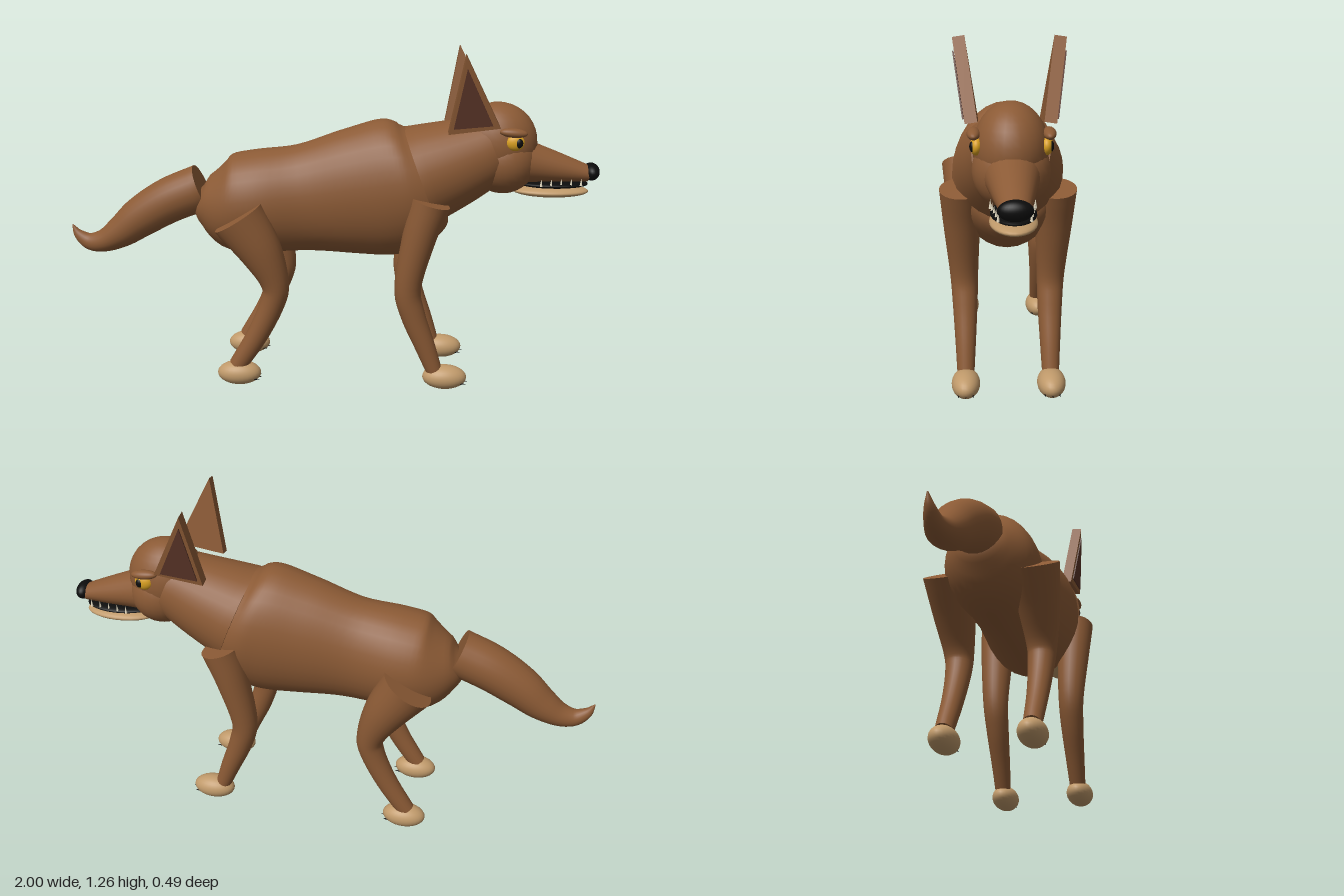
import * as THREE from 'three';

const mat = (name, color) => {
  const m = new THREE.MeshStandardMaterial({ color });
  m.name = name;
  return m;
};

// Smooth capped loft along a path in the xy plane; rows are [x, y, z, radius in xy, radius in z]
function loft(rows, steps = 24, seg = 24) {
  const path = new THREE.CatmullRomCurve3(rows.map(r => new THREE.Vector3(r[0], r[1], r[2])), false, 'catmullrom', 0.5);
  const size = new THREE.CatmullRomCurve3(rows.map(r => new THREE.Vector3(r[3], r[4], 0)), false, 'catmullrom', 0.5);
  const pos = [], idx = [], ends = [];
  for (let i = 0; i <= steps; i++) {
    const p = path.getPoint(i / steps), s = size.getPoint(i / steps), t = path.getTangent(i / steps);
    const len = Math.hypot(t.x, t.y);
    if (i === 0 || i === steps) ends.push(p);
    for (let j = 0; j < seg; j++) {
      const a = j / seg * Math.PI * 2, c = Math.cos(a) * s.x;
      pos.push(p.x - t.y / len * c, p.y + t.x / len * c, p.z + Math.sin(a) * s.y);
    }
  }
  for (let i = 0; i < steps; i++) for (let j = 0; j < seg; j++) {
    const k = (j + 1) % seg, a = i * seg + j, b = i * seg + k;
    idx.push(a, b, a + seg, b, b + seg, a + seg);
  }
  // Flat end caps with their own vertices
  [0, steps].forEach((ring, e) => {
    const base = pos.length / 3;
    for (let j = 0; j < seg; j++) pos.push(...pos.slice((ring * seg + j) * 3, (ring * seg + j) * 3 + 3));
    pos.push(ends[e].x, ends[e].y, ends[e].z);
    for (let j = 0; j < seg; j++) {
      const k = (j + 1) % seg;
      idx.push(base + seg, base + (e ? j : k), base + (e ? k : j));
    }
  });
  const g = new THREE.BufferGeometry();
  g.setAttribute('position', new THREE.Float32BufferAttribute(pos, 3));
  g.setIndex(idx);
  g.computeVertexNormals();
  return g;
}

export function createModel() {
  const model = new THREE.Group();
  model.name = 'canine';
  const fur = mat('brown fur', 0x8b5a35), tan = mat('tan', 0xbf996a), earInner = mat('inner ear brown', 0x5a3528);
  const gold = mat('golden eye', 0xd9a021), black = mat('black', 0x0c0c0c), ivory = mat('ivory', 0xf0e6cc);

  const add = (name, geo, material, parent = model) => {
    const m = new THREE.Mesh(geo, material);
    m.name = name;
    parent.add(m);
    return m;
  };
  const ball = (name, material, p, r, parent = model) => {
    const m = add(name, new THREE.SphereGeometry(1, 28, 18), material, parent);
    m.position.set(...p);
    m.scale.set(...r);
    return m;
  };
  const spike = (name, material, p, r, h, parent = model) => {
    const m = add(name, new THREE.ConeGeometry(r, h, 8), material, parent);
    m.position.set(...p);
    return m;
  };

  // Torso, neck and tail
  add('torso', loft([
    [-0.51, 0.70, 0, 0.03, 0.04], [-0.47, 0.69, 0, 0.10, 0.10], [-0.38, 0.68, 0, 0.18, 0.155],
    [-0.27, 0.69, 0, 0.197, 0.168], [-0.1, 0.705, 0, 0.205, 0.152], [0.08, 0.73, 0, 0.24, 0.17],
    [0.22, 0.75, 0, 0.26, 0.188], [0.31, 0.77, 0, 0.235, 0.19], [0.39, 0.80, 0, 0.17, 0.15], [0.43, 0.81, 0, 0.06, 0.06],
  ], 45, 32), fur);
  add('neck', loft([[0.34, 0.8, 0, 0.19, 0.19], [0.47, 0.85, 0, 0.162, 0.16], [0.6, 0.905, 0, 0.13, 0.125]], 8, 32), fur);
  add('tail', loft([
    [-0.487, 0.74, 0, 0.09, 0.085], [-0.61, 0.69, 0, 0.087, 0.085], [-0.72, 0.625, 0, 0.079, 0.077],
    [-0.8, 0.565, 0, 0.064, 0.066], [-0.87, 0.525, 0, 0.046, 0.05], [-0.93, 0.517, 0, 0.034, 0.033],
    [-0.975, 0.545, 0, 0.02, 0.018], [-0.998, 0.585, 0, 0.002, 0.002],
  ], 35), fur);

  // Head and muzzle
  const head = new THREE.Group();
  head.name = 'head';
  model.add(head);
  ball('skull', fur, [0.615, 0.925, 0], [0.148, 0.15, 0.12], head);
  ball('cheeks', fur, [0.64, 0.86, 0], [0.125, 0.125, 0.124], head);
  add('muzzle', loft([
    [0.66, 0.865, 0, 0.095, 0.1], [0.76, 0.848, 0, 0.072, 0.078],
    [0.86, 0.829, 0, 0.052, 0.06], [0.955, 0.812, 0, 0.03, 0.042],
  ], 15), fur, head);
  ball('nose', black, [0.966, 0.819, 0], [0.03, 0.032, 0.052], head);
  ball('mouthInterior', black, [0.825, 0.774, 0], [0.132, 0.015, 0.07], head);
  ball('lowerJaw', tan, [0.82, 0.746, 0], [0.14, 0.022, 0.073], head);

  for (const s of [1, -1]) {
    const side = s > 0 ? 'Right' : 'Left';

    // Ear: tilted outward, with a dark plate on its outer face
    const ear = new THREE.Group();
    ear.name = 'ear' + side;
    ear.position.set(0.48, 0.99, s * 0.122);
    ear.rotation.x = s * 0.15;
    head.add(ear);
    const triangle = (name, pts, depth, z, material) => {
      const shape = new THREE.Shape(pts.map(p => new THREE.Vector2(...p)));
      const g = new THREE.ExtrudeGeometry(shape, { depth, bevelEnabled: false });
      add(name, g.translate(0, 0, z - depth / 2), material, ear);
    };
    triangle('earShell', [[-0.052, -0.01], [0.13, 0.015], [0, 0.275]], 0.04, 0, fur);
    triangle('earInner', [[-0.035, 0.012], [0.103, 0.026], [0.004, 0.232]], 0.005, s * 0.024, earInner);

    // Eye and brow
    ball('eye' + side, gold, [0.668, 0.945, s * 0.108], [0.034, 0.03, 0.02], head);
    ball('pupil' + side, black, [0.68, 0.945, s * 0.119], [0.015, 0.018, 0.011], head);
    ball('brow' + side, fur, [0.66, 0.982, s * 0.117], [0.05, 0.017, 0.021], head).rotation.z = -0.08;

    // Teeth
    for (let i = 0; i < 5; i++) {
      const x = 0.775 + i * 0.037, z = s * (0.068 - i * 0.005);
      spike('tooth', ivory, [x, 0.79, z], 0.005, 0.03, head);
    }

    // Legs
    add('frontLeg' + side, loft([
      [0.37, 0.735, s * 0.162, 0.073, 0.074], [0.332, 0.6, s * 0.16, 0.062, 0.064], [0.295, 0.41, s * 0.154, 0.05, 0.05],
      [0.315, 0.3, s * 0.151, 0.046, 0.044], [0.365, 0.17, s * 0.15, 0.038, 0.036], [0.402, 0.07, s * 0.15, 0.03, 0.03],
    ], 25), fur);
    add('hindLeg' + side, loft([
      [-0.33, 0.667, s * 0.155, 0.102, 0.092], [-0.25, 0.54, s * 0.155, 0.08, 0.075], [-0.2, 0.42, s * 0.152, 0.054, 0.055],
      [-0.207, 0.34, s * 0.15, 0.047, 0.047], [-0.265, 0.21, s * 0.15, 0.041, 0.038], [-0.345, 0.08, s * 0.15, 0.035, 0.032],
    ], 25), fur);

    // Paws with three small claws each
    for (const [name, x] of [['frontPaw', 0.44], ['hindPaw', -0.34]]) {
      const paw = new THREE.Group();
      paw.name = name + side;
      paw.position.set(x, 0.05, s * 0.15);
      model.add(paw);
      ball('foot', tan, [0, 0, 0], [0.083, 0.046, 0.05], paw);
      for (const z of [-0.025, 0, 0.025])
        spike('claw', black, [0.074 - Math.abs(z) * 0.3, -0.018, z], 0.005, 0.03, paw).rotation.z = -Math.PI / 2;
    }
  }
  return model;
}
